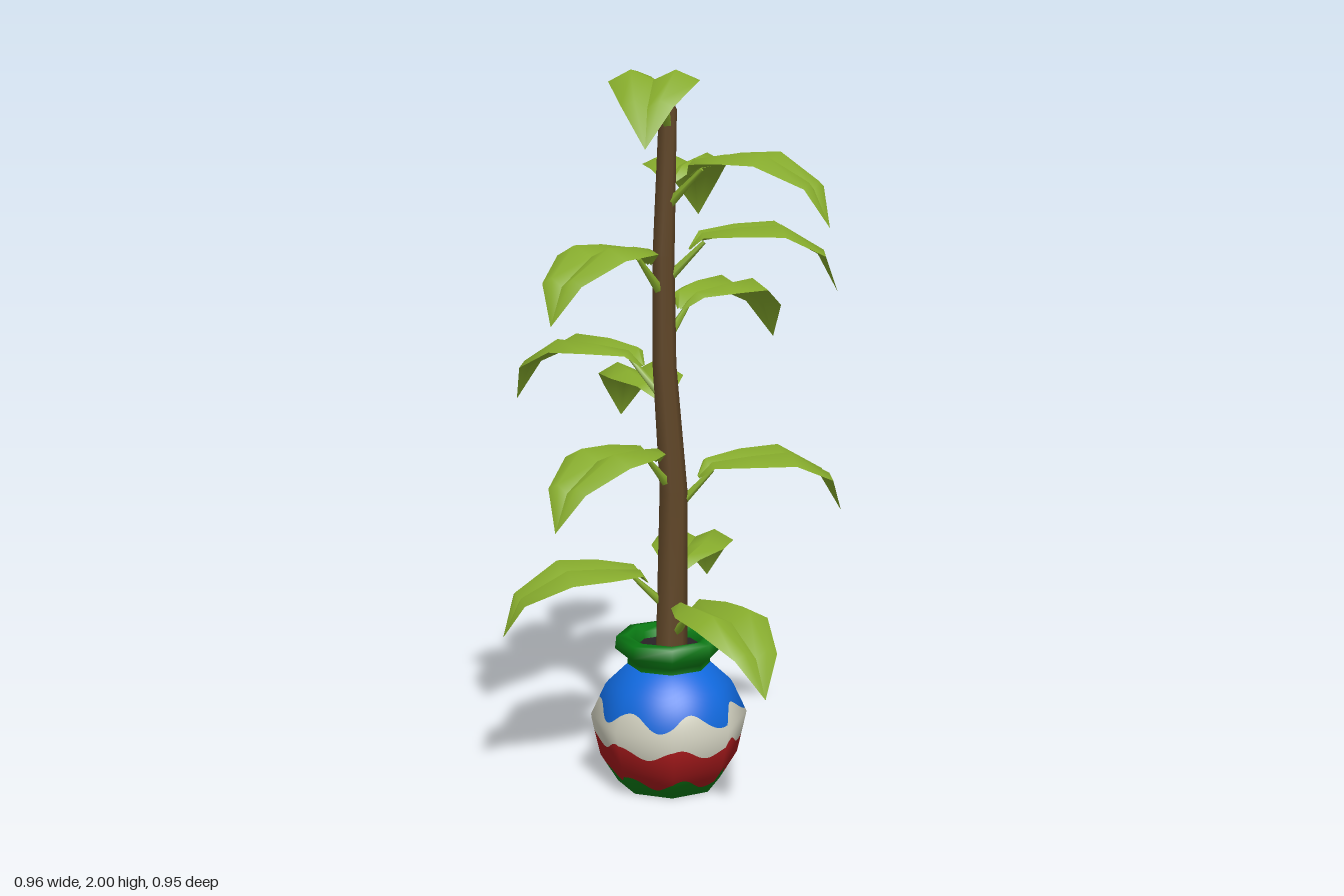
import * as THREE from 'three';
import { mergeVertices } from 'three/addons/utils/BufferGeometryUtils.js';

const mat = (name, color, side = THREE.FrontSide) => {
  const m = new THREE.MeshStandardMaterial({ color, side });
  m.name = name;
  return m;
};

// Grid surface from a point rule; seams are welded so normals stay smooth.
function surface(rows, cols, point) {
  const pos = [], index = [];
  for (let i = 0; i <= rows; i++)
    for (let j = 0; j <= cols; j++) pos.push(...point(i, j));
  for (let i = 0; i < rows; i++)
    for (let j = 0; j < cols; j++) {
      const a = i * (cols + 1) + j, up = a + cols + 1;
      index.push(a, up, a + 1, a + 1, up, up + 1);
    }
  let g = new THREE.BufferGeometry();
  g.setAttribute('position', new THREE.Float32BufferAttribute(pos, 3));
  g.setIndex(index);
  g = mergeVertices(g, 1e-5);
  g.computeVertexNormals();
  return g;
}

// Piecewise linear lookup: table rows are [key, value, ...].
function lookup(table, key, col) {
  let i = 0;
  while (i < table.length - 2 && key > table[i + 1][0]) i++;
  const [a, b] = [table[i], table[i + 1]];
  const t = THREE.MathUtils.clamp((key - a[0]) / (b[0] - a[0]), 0, 1);
  return a[col] + (b[col] - a[col]) * t;
}

const SIDES = 8, TAU = Math.PI * 2;
// Trunk: height, x, z, radius
const TRUNK = [
  [0.38, -0.012, 0.012, 0.046], [0.85, -0.006, 0.008, 0.04], [1.2, -0.03, -0.002, 0.034],
  [1.5, -0.032, -0.002, 0.031], [1.89, -0.02, 0.004, 0.025], [1.945, -0.02, 0.006, 0.001],
];
// Pot body: height, radius
const BODY = [[0, 0.145], [0.08, 0.195], [0.2, 0.222], [0.295, 0.178], [0.35, 0.118]];
// Leaf stations: reach, half width, then heights of midrib, fold and edge
const LEAF = [
  [0.07, 0.012, -0.07, -0.065, -0.07], [0.1, 0.06, -0.047, -0.022, -0.035],
  [0.2, 0.107, -0.03, -0.006, -0.028], [0.31, 0.114, -0.026, 0, -0.03],
  [0.43, 0.065, -0.092, -0.072, -0.088], [0.476, 0, -0.19, -0.19, -0.19],
];
// Leaf tips: x, z and the leaf's highest y
const TIPS = [
  [-0.105, 0.47, 2.0], [0.385, 0.25, 1.785], [0.1, -0.457, 1.76], [0.45, -0.03, 1.585],
  [-0.34, 0.36, 1.55], [0.31, -0.335, 1.415], [-0.437, -0.22, 1.26], [-0.13, -0.475, 1.16],
  [-0.335, 0.36, 1.01], [0.48, -0.09, 0.95], [-0.48, 0.13, 0.66], [0.13, -0.467, 0.66],
  [0.205, 0.46, 0.58],
];

// One half of the folded blade, pointing along +x
function halfLeaf(side, stretch) {
  return surface(LEAF.length - 1, 2, (i, j) => {
    const k = side > 0 ? 2 - j : j, s = LEAF[i];
    return [s[0] * stretch, s[2 + k], side * s[1] * k / 2];
  });
}

function makeLeaf([x, z, top], material) {
  const leaf = new THREE.Group();
  leaf.name = 'leaf';
  const cx = lookup(TRUNK, top - 0.13, 1), cz = lookup(TRUNK, top - 0.13, 2);
  const stretch = Math.hypot(x - cx, z - cz) / 0.476;
  for (const side of [-1, 1]) {
    const blade = new THREE.Mesh(halfLeaf(side, stretch), material);
    blade.name = side > 0 ? 'leafHalfA' : 'leafHalfB';
    leaf.add(blade);
  }
  // Stalk rising from the trunk to the blade
  const from = new THREE.Vector3(0.01, -0.15, 0);
  const to = new THREE.Vector3(0.11 * stretch, -0.05, 0);
  const axis = to.clone().sub(from);
  const stalk = new THREE.Mesh(new THREE.CylinderGeometry(0.006, 0.015, axis.length(), 5), material);
  stalk.name = 'leafStalk';
  stalk.position.copy(from).add(to).multiplyScalar(0.5);
  stalk.quaternion.setFromUnitVectors(new THREE.Vector3(0, 1, 0), axis.normalize());
  leaf.add(stalk);
  leaf.position.set(cx, top, cz);
  leaf.rotation.y = -Math.atan2(z - cz, x - cx);
  return leaf;
}

// Painted band of the eight-sided pot between two wavy heights
function potBand(low, high) {
  const rows = 8, cols = 112;
  const g = surface(rows, cols, (i, j) => {
    const a = (j % cols) / cols * TAU, phi = Math.PI / 2 - a; // phi is measured from the front
    const y = THREE.MathUtils.lerp(low(phi), high(phi), i / rows);
    const step = TAU / SIDES, off = (a % step) - step / 2;
    const r = lookup(BODY, y, 1) * Math.cos(step / 2) / Math.cos(off);
    return [r * Math.cos(a), y, r * Math.sin(a)];
  });
  // Rounded shading across the facets
  const p = g.attributes.position, n = new THREE.Vector3();
  for (let i = 0; i < p.count; i++) {
    n.set(p.getX(i), p.getY(i) - 0.18, p.getZ(i)).normalize();
    g.attributes.normal.setXYZ(i, n.x, n.y, n.z);
  }
  return g;
}

export function createModel() {
  const leafGreen = mat('leafGreen', 0x86ab2c, THREE.DoubleSide);
  const bark = mat('bark', 0x604627);
  const potGreen = mat('potGreen', 0x0a7a14);
  const blue = mat('blue', 0x1068dc);
  const cream = mat('cream', 0xd2d1c0);
  const red = mat('red', 0xa81a1c);
  const soilDark = mat('soilDark', 0x2a2226);

  const model = new THREE.Group();
  model.name = 'pottedPlant';
  const add = (name, geometry, material, parent) => {
    const m = new THREE.Mesh(geometry, material);
    m.name = name;
    parent.add(m);
    return m;
  };

  // Pot with wavy painted bands
  const pot = new THREE.Group();
  pot.name = 'pot';
  pot.position.set(-0.018, 0, 0.01);
  model.add(pot);
  const wave = (y, amp, shift) => (phi) => y + amp * Math.cos(7 * (phi - shift));
  const edges = [() => 0, wave(0.042, 0.018, 0.15), wave(0.143, 0.018, 0.07),
    wave(0.232, 0.022, 0.25), () => 0.35];
  [['greenBand', potGreen], ['redBand', red], ['creamBand', cream], ['blueBand', blue]]
    .forEach(([name, m], i) => add(name, potBand(edges[i], edges[i + 1]), m, pot));
  add('potBase', new THREE.CircleGeometry(0.145, SIDES).rotateX(Math.PI / 2), potGreen, pot);

  // Flared rim and soil
  const rim = [[0.118, 0.345], [0.116, 0.365], [0.152, 0.395], [0.148, 0.43],
    [0.12, 0.434], [0.095, 0.42], [0.092, 0.39]];
  add('potRim', surface(rim.length - 1, SIDES, (i, j) => {
    const a = (j % SIDES) / SIDES * TAU;
    return [rim[i][0] * Math.cos(a), rim[i][1], rim[i][0] * Math.sin(a)];
  }), potGreen, pot);
  add('soil', new THREE.CircleGeometry(0.1, SIDES).rotateX(-Math.PI / 2), soilDark, pot)
    .position.y = 0.4;

  // Gently bent trunk
  add('trunk', surface(TRUNK.length - 1, 7, (i, j) => {
    const a = (j % 7) / 7 * TAU, [y, x, z, r] = TRUNK[i];
    return [x + r * Math.cos(a), y, z + r * Math.sin(a)];
  }), bark, model);

  // Leaves spiralling around the trunk
  for (const tip of TIPS) model.add(makeLeaf(tip, leafGreen));
  return model;
}
